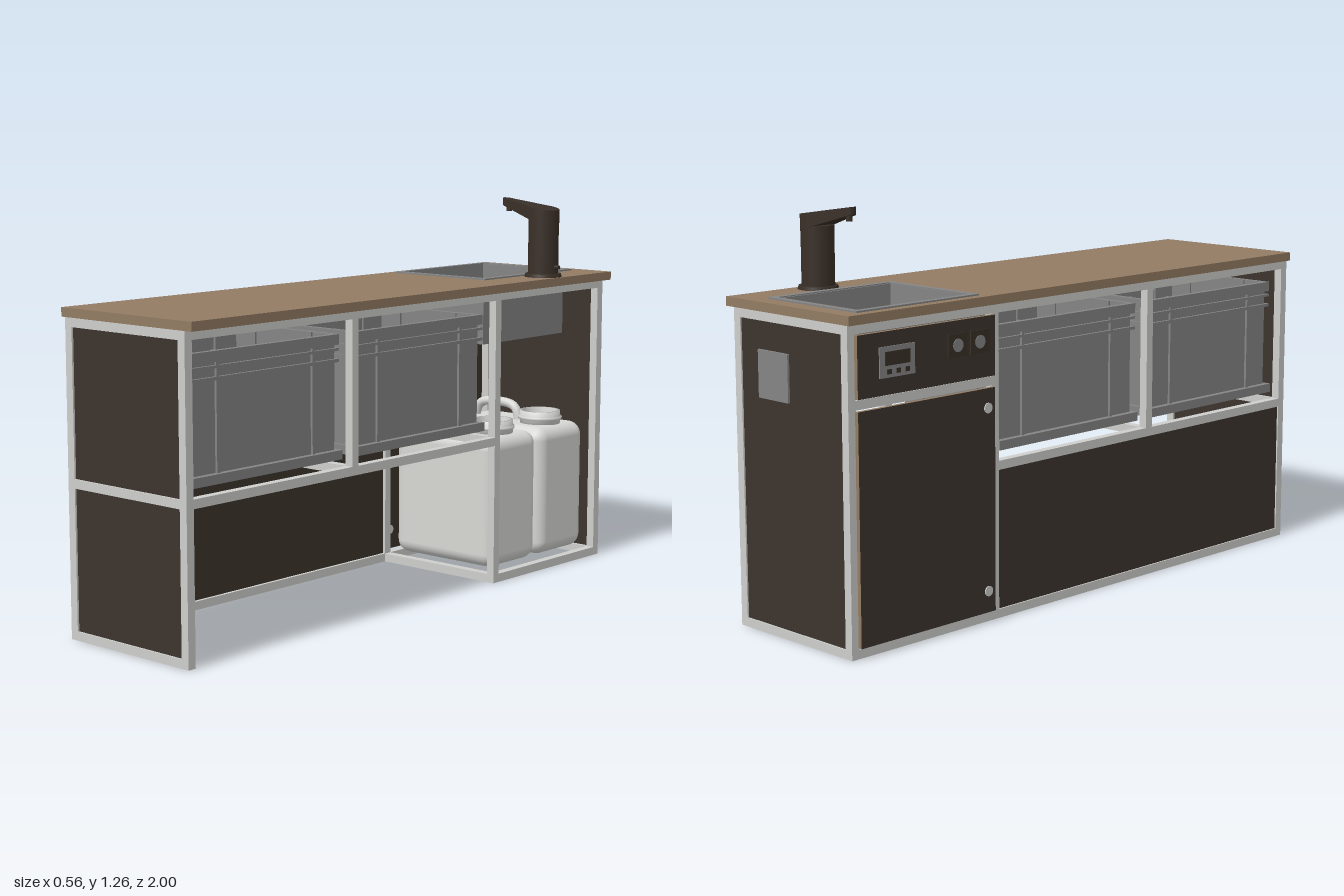
import * as THREE from 'three';
import { RoundedBoxGeometry } from 'three/addons/geometries/RoundedBoxGeometry.js';

const mat = (name, color, extra = {}) => Object.assign(new THREE.MeshStandardMaterial({ color, ...extra }), { name });

export function createModel() {
  const root = new THREE.Group();
  const frameMat = mat('pale frame', 0xcfd0cd);
  const dark = mat('dark panel', 0x3d342d);
  const wood = mat('wood', 0x937c63);
  const grey = mat('grey plastic', 0x858585);
  const jugMat = mat('jug white', 0xd8d8d5, { side: THREE.DoubleSide });
  const black = mat('faucet brown black', 0x3a3028);

  const group = (name, parent = root) => {
    const g = new THREE.Group();
    g.name = name;
    parent.add(g);
    return g;
  };
  const add = (parent, name, geo, material, x = 0, y = 0, z = 0) => {
    const m = new THREE.Mesh(geo, material);
    m.name = name;
    m.position.set(x, y, z);
    parent.add(m);
    return m;
  };
  // box given by its limits
  const box = (parent, name, material, x0, x1, y0, y1, z0, z1) =>
    add(parent, name, new THREE.BoxGeometry(x1 - x0, y1 - y0, z1 - z0), material,
      (x0 + x1) / 2, (y0 + y1) / 2, (z0 + z1) / 2);
  // hollow rectangular band, t thick
  const ring = (parent, name, material, x0, x1, y0, y1, z0, z1, t) => {
    box(parent, name, material, x0, x0 + t, y0, y1, z0, z1);
    box(parent, name, material, x1 - t, x1, y0, y1, z0, z1);
    box(parent, name, material, x0 + t, x1 - t, y0, y1, z0, z0 + t);
    box(parent, name, material, x0 + t, x1 - t, y0, y1, z1 - t, z1);
  };

  // --- frame of square bars
  const T = 0.028, X0 = -0.262, X1 = 0.245, Z0 = -0.99, Z1 = 0.998, ZD = -0.425, ZM = 0.275, TOP = 0.973;
  const frame = group('frame');
  const post = (x, z, y0 = 0) => box(frame, 'post', frameMat, x, x + T, y0, TOP, z, z + T);
  const rail = (x, y, z0, z1) => box(frame, 'longRail', frameMat, x, x + T, y, y + T, z0, z1);
  const cross = (y, z) => box(frame, 'crossRail', frameMat, X0 + T, X1 - T, y, y + T, z, z + T);
  const MID = 0.464, HIGH = TOP - T;
  for (const x of [X0, X1 - T]) {
    for (const z of [Z0, ZD, Z1 - T]) post(x, z);
    post(x, ZM, MID + T);
    rail(x, HIGH, Z0, Z1);
    rail(x, MID, ZD + T, Z1);
    rail(x, 0, Z0, ZD);
  }
  rail(X0, 0, ZD, Z1);
  rail(X0, 0.728, Z0 + T, ZD);
  for (const z of [Z0, ZD, Z1 - T]) { cross(0, z); cross(HIGH, z); }
  for (const z of [ZD, ZM, Z1 - T]) cross(MID, z);

  // --- inset panels
  const panels = group('panels');
  box(panels, 'lowerEndPanel', dark, X0 + T, X1 - T, T, MID, 0.98, 0.992);
  box(panels, 'upperEndPanel', dark, X0 + T, X1 - T, MID + T, HIGH, 0.98, 0.992);
  box(panels, 'rearEndPanel', dark, X0 + T, X1 - T, T, HIGH, -0.985, -0.973);
  box(panels, 'longSidePanel', dark, X0 + 0.005, X0 + 0.017, T, MID, ZD + T, Z1 - T);
  box(panels, 'endPlate', grey, 0, 0.135, 0.716, 0.86, -0.992, -0.984);

  // --- door and control panel: dark faces, wooden edges
  const edged = [dark, dark, wood, wood, wood, wood];
  const cupboard = group('cupboardFront');
  box(cupboard, 'door', edged, -0.275, -0.262, 0.033, 0.725, -0.965, -0.425);
  box(cupboard, 'controlPanel', edged, -0.275, -0.262, 0.76, 0.943, -0.965, -0.425);
  for (const y of [0.1, 0.665])
    add(cupboard, 'latch', new THREE.CylinderGeometry(0.016, 0.016, 0.018, 20), frameMat, -0.2695, y, -0.455).rotation.z = Math.PI / 2;
  box(cupboard, 'displayPlate', grey, -0.279, -0.274, 0.81, 0.9, -0.885, -0.75);
  box(cupboard, 'displayScreen', black, -0.281, -0.278, 0.845, 0.885, -0.865, -0.77);
  for (const z of [-0.85, -0.815, -0.78])
    box(cupboard, 'displayButton', black, -0.281, -0.278, 0.82, 0.834, z - 0.008, z + 0.008);
  for (const z of [-0.58, -0.49]) {
    box(cupboard, 'socketPlate', black, -0.279, -0.274, 0.835, 0.905, z - 0.038, z + 0.038);
    add(cupboard, 'socket', new THREE.CylinderGeometry(0.02, 0.02, 0.004, 20), grey, -0.279, 0.87, z).rotation.z = Math.PI / 2;
  }

  // --- worktop with a cut-out for the sink
  const SX0 = -0.23, SX1 = 0.127, SZ0 = -0.92, SZ1 = -0.478;
  const rect = (C, x0, x1, y0, y1) => new C([[x0, y0], [x1, y0], [x1, y1], [x0, y1]].map(p => new THREE.Vector2(...p)));
  const topShape = rect(THREE.Shape, -0.276, 0.276, -1, 0.995);
  topShape.holes.push(rect(THREE.Path, SX0, SX1, -SZ1, -SZ0));
  const topGeo = new THREE.ExtrudeGeometry(topShape, { depth: 0.028, bevelEnabled: false }).rotateX(-Math.PI / 2);
  add(root, 'worktop', topGeo, wood, 0, TOP, 0);

  // --- sink
  const sink = group('sink');
  ring(sink, 'sinkRim', grey, -0.245, 0.148, 1.001, 1.006, -0.94, -0.46, 0.021);
  ring(sink, 'basinWall', grey, SX0, SX1, 0.785, 1.003, SZ0, SZ1, 0.006);
  box(sink, 'basinFloor', grey, SX0, SX1, 0.783, 0.791, SZ0, SZ1);

  // --- faucet
  const faucet = group('faucet');
  faucet.position.set(0.208, 0, -0.697);
  add(faucet, 'faucetBase', new THREE.CylinderGeometry(0.06, 0.063, 0.012, 32), black, 0, 1.006, 0);
  add(faucet, 'faucetBody', new THREE.CylinderGeometry(0.051, 0.051, 0.19, 32), black, 0, 1.1, 0);
  const plan = new THREE.Shape();
  plan.absarc(0, 0, 0.052, -1.75, 1.75, false);
  plan.absarc(-0.15, 0, 0.019, 1.75, -1.75 + Math.PI * 2, false);
  plan.closePath();
  const head = new THREE.ExtrudeGeometry(plan, { depth: 1, bevelEnabled: false, curveSegments: 20 }).rotateX(-Math.PI / 2);
  const hp = head.attributes.position;
  for (let i = 0; i < hp.count; i++) {
    const x = hp.getX(i);
    hp.setY(i, hp.getY(i) > 0.5 ? 1.225 + 0.16 * (0.052 - x) : 1.236 - 0.3 * (x + 0.165));
  }
  head.computeVertexNormals();
  add(faucet, 'faucetSpout', head, black);
  add(faucet, 'nozzle', new THREE.CylinderGeometry(0.01, 0.01, 0.025, 16), black, -0.147, 1.228, 0);
  add(faucet, 'faucetButton', new THREE.CylinderGeometry(0.007, 0.007, 0.02, 12), black, 0.056, 1.035, 0).rotation.z = Math.PI / 2;

  // --- storage crates with ribs, rims and end grips
  for (const cz of [0.637, -0.056]) {
    const c = group('crate');
    c.position.set(-0.008, 0, cz);
    const w = 0.207, d = 0.297;
    for (const s of [-1, 1]) {
      box(c, 'crateSide', grey, s * w - 0.004, s * w + 0.004, 0.52, 0.9, -d, d);
      const end = rect(THREE.Shape, -w, w, 0.52, 0.9);
      end.holes.push(rect(THREE.Path, -0.07, 0.07, 0.775, 0.82));
      add(c, 'crateEnd', new THREE.ExtrudeGeometry(end, { depth: 0.008, bevelEnabled: false }), grey, 0, 0, s * d - 0.004);
      for (const y of [0.765, 0.82]) box(c, 'gripEdge', grey, -0.085, 0.085, y, y + 0.01, s * (d + 0.006) - 0.008, s * (d + 0.006) + 0.008);
      for (const z of [-0.2, 0.2]) box(c, 'crateRib', grey, s * w - 0.012, s * w + 0.012, 0.53, 0.9, z - 0.006, z + 0.006);
      for (const x of [-0.12, 0.12]) box(c, 'endRib', grey, x - 0.006, x + 0.006, 0.53, 0.9, s * d - 0.01, s * d + 0.01);
    }
    for (const [y0, y1] of [[0.868, 0.9], [0.85, 0.858], [0.815, 0.825]])
      ring(c, 'crateRim', grey, -w - 0.014, w + 0.014, y0, y1, -d - 0.013, d + 0.013, 0.016);
    box(c, 'crateFloor', grey, -w, w, 0.518, 0.53, -d, d);
    ring(c, 'crateTray', grey, -w - 0.024, w + 0.024, 0.516, 0.545, -0.314, 0.314, 0.024);
  }

  // --- water jugs with neck and carrying handle
  const neck = [[0.055, 0], [0.07, 0.012], [0.07, 0.026], [0.076, 0.028], [0.076, 0.036], [0.07, 0.038], [0.07, 0.056], [0.06, 0.056], [0.06, 0]]
    .map(p => new THREE.Vector2(...p));
  const grip = new THREE.CatmullRomCurve3([[-0.19, 0.45], [-0.165, 0.515], [-0.08, 0.53], [-0.01, 0.515], [0.01, 0.45]]
    .map(([x, y]) => new THREE.Vector3(x, y, 0)));
  for (const z of [-0.567, -0.834]) {
    const j = group('waterJug');
    j.position.z = z;
    add(j, 'jugBody', new RoundedBoxGeometry(0.43, 0.445, 0.262, 4, 0.045), jugMat, -0.015, 0.2525, 0);
    add(j, 'jugNeck', new THREE.LatheGeometry(neck, 32), jugMat, 0.1, 0.462, 0);
    add(j, 'jugHandle', new THREE.TubeGeometry(grip, 24, 0.016, 10), jugMat);
  }
  return root;
}
